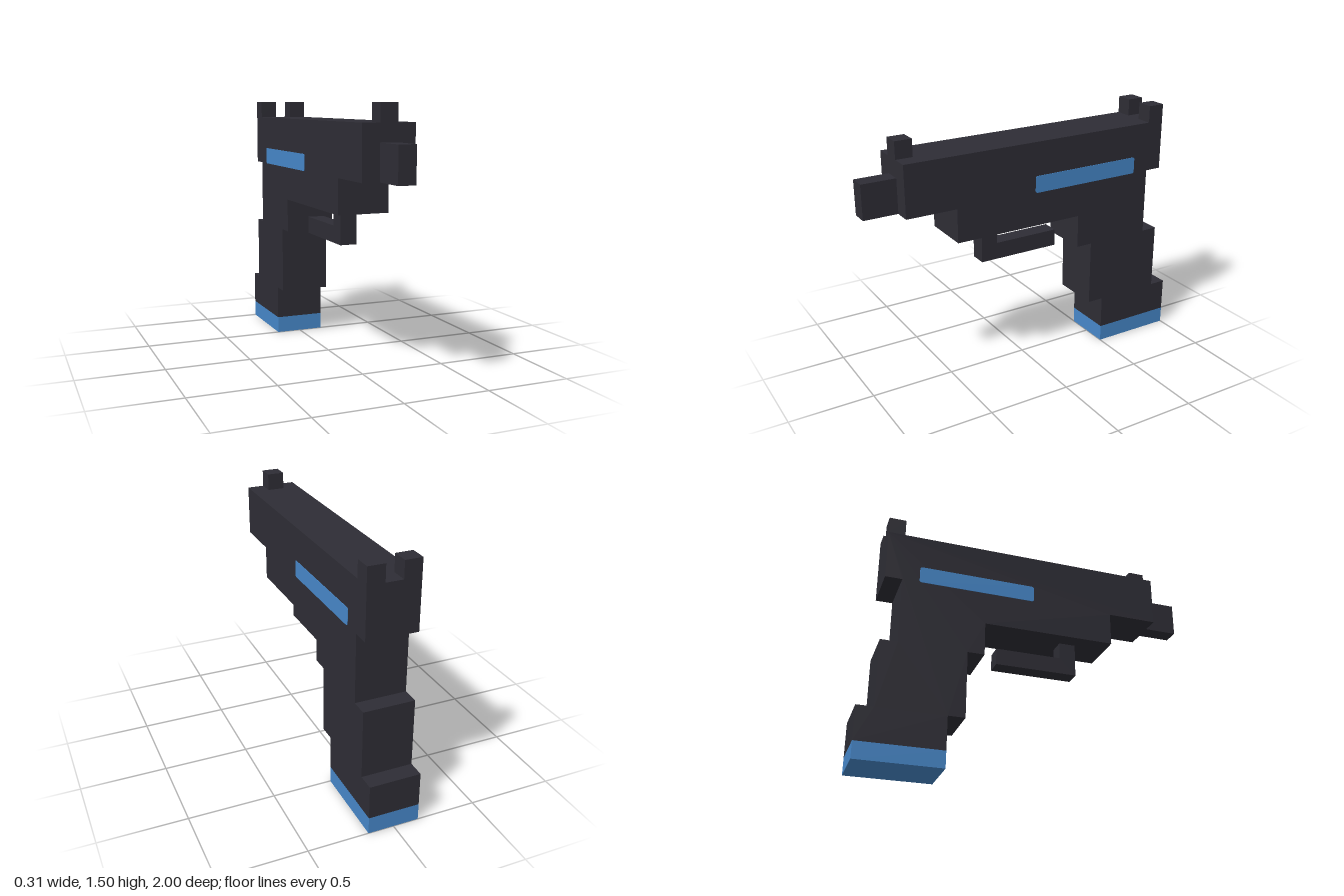
import * as THREE from 'three';

export function createModel() {
  const group = new THREE.Group();
  const charcoal = new THREE.MeshStandardMaterial({ color: 0x2e2d35 });
  charcoal.name = 'charcoal';
  const blue = new THREE.MeshStandardMaterial({ color: 0x4788ca });
  blue.name = 'blue';

  const add = (name, geometry, material) => {
    const mesh = new THREE.Mesh(geometry, material);
    mesh.name = name;
    group.add(mesh);
    return mesh;
  };

  // Box given by its extents on each axis
  const box = (name, [x0, x1], [y0, y1], [z0, z1], material = charcoal) =>
    add(name, new THREE.BoxGeometry(x1 - x0, y1 - y0, z1 - z0), material)
      .position.set((x0 + x1) / 2, (y0 + y1) / 2, (z0 + z1) / 2);

  // Side profile drawn as (z, y), extruded across x and centred
  const extrudeAcross = (shape, width) =>
    new THREE.ExtrudeGeometry(shape, { depth: width, bevelEnabled: false, curveSegments: 4 })
      .translate(0, 0, -width / 2)
      .rotateY(-Math.PI / 2);

  // Slide, frame and stepped grip share one silhouette
  const profile = [
    [0.8, 1.4], [0.8, 1.1], [0.5, 1.1], [0.5, 0.9], [-0.3, 0.9], [-0.3, 0.7],
    [-0.4, 0.7], [-0.4, 0.3], [-0.5, 0.3], [-0.5, 0.1], [-1, 0.1], [-1, 0.3],
    [-0.9, 0.3], [-0.9, 0.7], [-0.8, 0.7], [-0.8, 1.1], [-0.9, 1.1], [-0.9, 1.4],
  ].map(([z, y]) => new THREE.Vector2(z, y));
  add('body', extrudeAcross(new THREE.Shape(profile), 0.3), charcoal);

  // Blue foot of the grip
  box('gripBase', [-0.15, 0.15], [0, 0.1], [-1, -0.5], blue);

  // Barrel and front sight
  box('barrel', [-0.05, 0.05], [1.1, 1.3], [0.8, 1]);
  box('frontSight', [-0.05, 0.05], [1.4, 1.5], [0.7, 0.8]);

  // L-shaped guard under the frame
  const guard = [[0.3, 0.9], [0.3, 0.7], [-0.2, 0.7], [-0.2, 0.8], [0.2, 0.8], [0.2, 0.9]]
    .map(([z, y]) => new THREE.Vector2(z, y));
  add('triggerGuard', extrudeAcross(new THREE.Shape(guard), 0.1), charcoal);

  // Rounded blue stripe outline
  const z0 = -0.7, z1 = 0, y0 = 1.1, y1 = 1.2, r = 0.012;
  const stripe = new THREE.Shape();
  stripe.absarc(z1 - r, y1 - r, r, 0, Math.PI / 2);
  stripe.absarc(z0 + r, y1 - r, r, Math.PI / 2, Math.PI);
  stripe.absarc(z0 + r, y0 + r, r, Math.PI, Math.PI * 1.5);
  stripe.absarc(z1 - r, y0 + r, r, Math.PI * 1.5, Math.PI * 2);

  // Mirrored rear sight posts and side stripes
  for (const [side, s] of [['left', 1], ['right', -1]]) {
    box(`${side}RearSight`, s > 0 ? [0.05, 0.15] : [-0.15, -0.05], [1.4, 1.5], [-0.9, -0.8]);
    add(`${side}Stripe`, extrudeAcross(stripe, 0.006), blue).position.x = s * 0.15;
  }

  return group;
}
